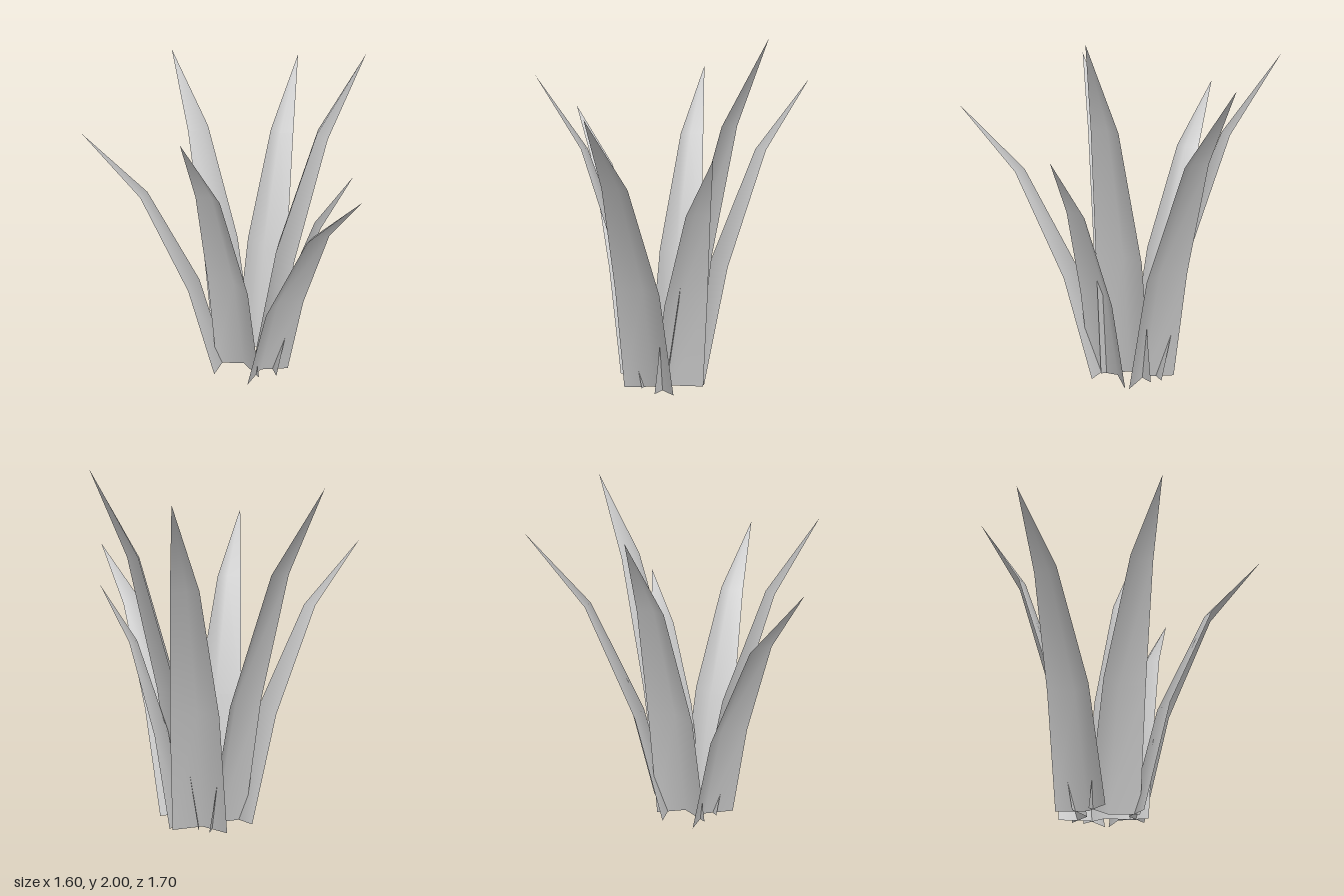
import * as THREE from 'three';

// Blades fan out from this point on the ground
const CENTER = { x: 0.12, z: -0.1 };

// tip: [x, y, z]; base: distance of the blade's lower edge corners from the centre
const BLADES = [
  { name: 'rightTallBlade', tip: [0.8, 2.0, -0.1], base: 0.13 },
  { name: 'shortBlade', tip: [0.65, 1.38, 0.17], base: 0.21 },
  { name: 'frontBlade', tip: [0.38, 1.6, 0.85], base: 0.232 },
  { name: 'frontSideBlade', tip: [-0.41, 1.82, 0.425], base: 0.15 },
  { name: 'sideBlade', tip: [-0.8, 1.63, -0.305], base: 0.234 },
  { name: 'backBlade', tip: [-0.15, 1.89, -0.85], base: 0.167 },
  { name: 'backCornerBlade', tip: [0.66, 1.8, -0.79], base: 0.205 },
];

// Levels up a blade: height fraction, outward fraction, half width
const LEVELS = [
  [0, 0, 0.157],
  [0.39, 0.21, 0.135],
  [0.77, 0.572, 0.075],
];
const FOLD = 0.53; // depth of the central fold relative to the half width

function bladeGeometry({ tip, base }) {
  const dx = tip[0] - CENTER.x, dz = tip[2] - CENTER.z;
  const reach = Math.hypot(dx, dz);
  const ux = dx / reach, uz = dz / reach;
  const positions = [], index = [];

  // Shallow V sections, folded towards the centre of the tuft
  for (const [h, out, w] of LEVELS) {
    const r = base + (reach - base) * out;
    for (const side of [-1, 0, 1]) {
      const rad = side === 0 ? r - w * FOLD : r;
      positions.push(
        CENTER.x + ux * rad - uz * w * side,
        h * tip[1],
        CENTER.z + uz * rad + ux * w * side
      );
    }
  }
  positions.push(...tip);

  for (let j = 0; j < LEVELS.length; j++) {
    for (let i = 0; i < 2; i++) {
      const a = j * 3 + i, b = a + 1;
      if (j === LEVELS.length - 1) index.push(a, 9, b);
      else index.push(a, a + 3, b, b, a + 3, b + 3);
    }
  }

  const geometry = new THREE.BufferGeometry();
  geometry.setAttribute('position', new THREE.Float32BufferAttribute(positions, 3));
  geometry.setIndex(index);
  geometry.computeVertexNormals();
  return geometry;
}

export function createModel() {
  const group = new THREE.Group();
  group.name = 'grassTuft';
  const material = new THREE.MeshStandardMaterial({ color: 0xcccccc, side: THREE.DoubleSide });
  material.name = 'lightGrey';
  for (const blade of BLADES) {
    const mesh = new THREE.Mesh(bladeGeometry(blade), material);
    mesh.name = blade.name;
    group.add(mesh);
  }
  return group;
}
